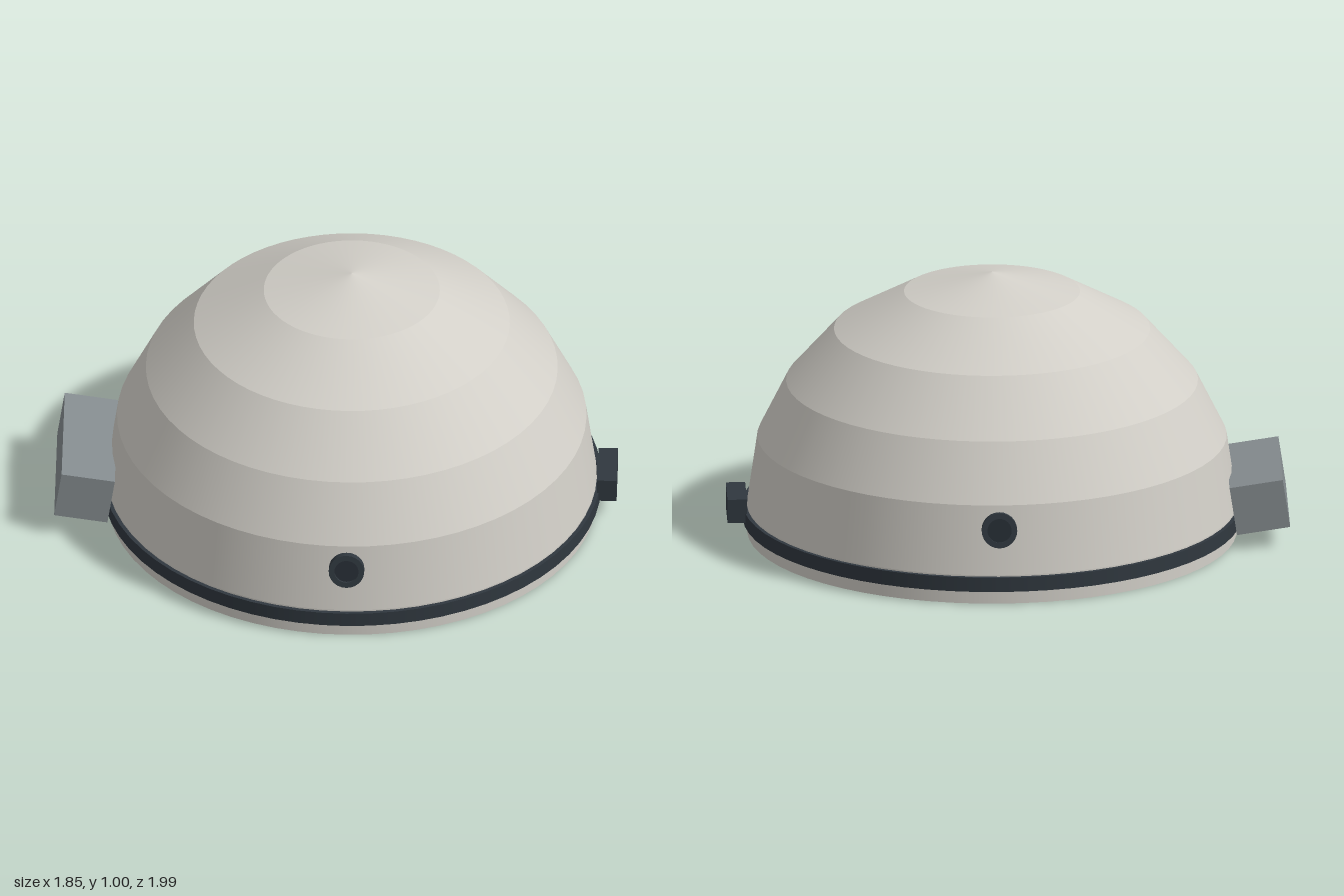
import * as THREE from 'three';
import { mergeGeometries } from 'three/addons/utils/BufferGeometryUtils.js';

const SEGMENTS = 64;
const TILT = 0.15; // lean of the lower shell wall

function material(name, color, side = THREE.FrontSide) {
  const m = new THREE.MeshStandardMaterial({ color, side });
  m.name = name;
  return m;
}

// Lathe that is smooth around the axis but creased at every profile point
function creasedLathe(profile, segments = SEGMENTS) {
  const rings = [];
  for (let i = 0; i < profile.length - 1; i++) {
    const pair = [profile[i], profile[i + 1]].map(([r, y]) => new THREE.Vector2(r, y));
    rings.push(new THREE.LatheGeometry(pair, segments));
  }
  return mergeGeometries(rings);
}

// Closed ring with a rectangular section
function ringGeometry(inner, outer, bottom, top, segments) {
  return creasedLathe([[inner, bottom], [outer, bottom], [outer, top], [inner, top], [inner, bottom]], segments);
}

function add(parent, name, geometry, mat) {
  const mesh = new THREE.Mesh(geometry, mat);
  mesh.name = name;
  parent.add(mesh);
  return mesh;
}

export function createModel() {
  const shellMat = material('pale shell', 0xd2cfc8, THREE.DoubleSide);
  const darkMat = material('dark trim', 0x30383f);
  const ventMat = material('vent core', 0x262d34);
  const boxMat = material('grey box', 0x868d90);

  const model = new THREE.Group();
  model.name = 'domeHelmet';
  const body = new THREE.Group();
  body.name = 'body';
  body.position.z = 0.065;
  body.rotation.y = 0.595;
  model.add(body);

  // Open dome shell in broad stepped bands
  add(body, 'domeShell', creasedLathe([
    [0.91, 0], [0.91, 0.11], [0.872, 0.37], [0.765, 0.585],
    [0.587, 0.785], [0.327, 0.93], [0, 1.005],
  ]), shellMat);

  // Rim band
  add(body, 'rimBand', ringGeometry(0.911, 0.926, 0.05, 0.105), darkMat);

  // Front buckle
  add(body, 'frontBuckle', new THREE.BoxGeometry(0.216, 0.09, 0.072), darkMat)
    .position.set(0, 0.115, 0.95);

  // Rear box leaning with the shell wall
  const rearBox = add(body, 'rearBox', new THREE.BoxGeometry(0.54, 0.185, 0.2), boxMat);
  rearBox.position.set(0, 0.162, -0.987);
  rearBox.rotation.x = TILT;

  // Round side vents, one on each side
  for (const [name, turn] of [['leftVent', 0], ['rightVent', Math.PI]]) {
    const pivot = new THREE.Group();
    pivot.name = name;
    pivot.rotation.y = turn;
    body.add(pivot);
    const vent = new THREE.Group();
    vent.position.set(0.886, 0.28, 0);
    vent.rotation.z = TILT - Math.PI / 2;
    pivot.add(vent);
    add(vent, 'ventRing', ringGeometry(0.045, 0.066, -0.006, 0.027, 24), darkMat);
    const core = add(vent, 'ventCore', new THREE.CylinderGeometry(0.046, 0.046, 0.014, 24), ventMat);
    core.position.y = 0.011;
  }

  return model;
}
